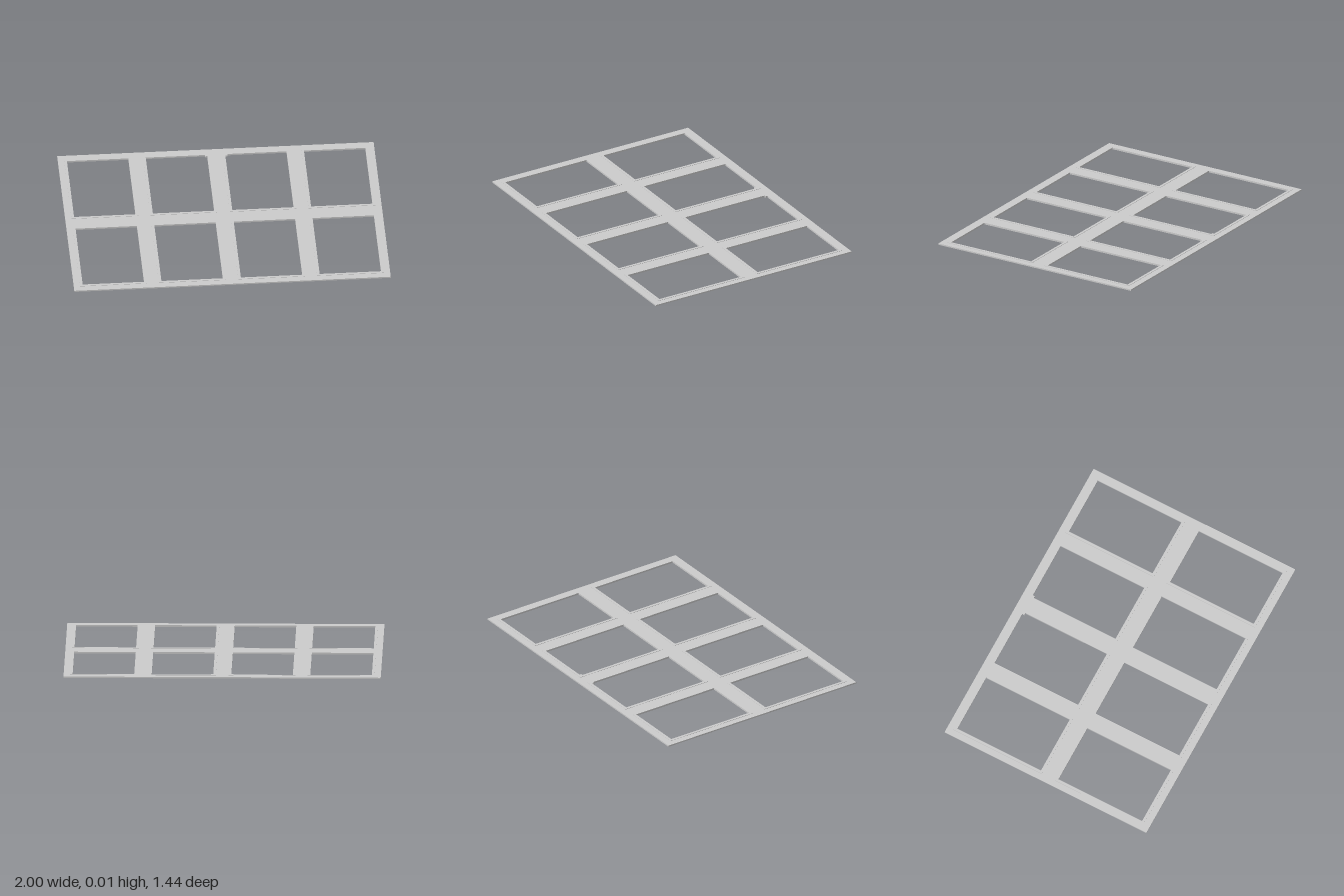
import * as THREE from 'three';

const W = 0.388, D = 0.597; // opening size
const BASE = 0.009, LIP = 0.002, RIM = 0.017;

// Shapes are drawn in x and -z, then laid flat.
function rect(Type, x, y, w, d) {
  const p = new Type();
  p.moveTo(x - w / 2, y - d / 2);
  p.lineTo(x + w / 2, y - d / 2);
  p.lineTo(x + w / 2, y + d / 2);
  p.lineTo(x - w / 2, y + d / 2);
  p.closePath();
  return p;
}

// Opening; a notch of -1 or 1 fills a small square in its back left or right corner.
function opening(x, y, notch) {
  if (!notch) return rect(THREE.Path, x, y, W, D);
  const s = notch, n = 0.014, p = new THREE.Path();
  p.moveTo(x - s * W / 2, y - D / 2);
  p.lineTo(x + s * W / 2, y - D / 2);
  p.lineTo(x + s * W / 2, y + D / 2 - n);
  p.lineTo(x + s * (W / 2 - n), y + D / 2 - n);
  p.lineTo(x + s * (W / 2 - n), y + D / 2);
  p.lineTo(x - s * W / 2, y + D / 2);
  p.closePath();
  return p;
}

export function createModel() {
  const group = new THREE.Group();
  const material = new THREE.MeshStandardMaterial({ color: 0xcccccc });

  function slab(name, shape, bottom, height) {
    const geometry = new THREE.ExtrudeGeometry(shape, { depth: height, bevelEnabled: false });
    geometry.rotateX(-Math.PI / 2);
    const mesh = new THREE.Mesh(geometry, material);
    mesh.name = name;
    mesh.position.y = bottom;
    group.add(mesh);
  }

  const frame = rect(THREE.Shape, 0, 0, 2, 1.44);
  for (const x of [-0.749, -0.251, 0.251, 0.749]) {
    for (const y of [-0.361, 0.361]) {
      const notch = y > 0 && Math.abs(x) < 0.5 ? -Math.sign(x) : 0;
      frame.holes.push(opening(x, y, notch));

      // Slightly raised lip around each opening
      const lip = rect(THREE.Shape, x, y, W + 2 * RIM, D + 2 * RIM);
      lip.holes.push(opening(x, y, notch));
      slab('openingLip', lip, BASE, LIP);
    }
  }

  // Flat lattice with eight openings
  slab('latticeFrame', frame, 0, BASE);
  return group;
}
